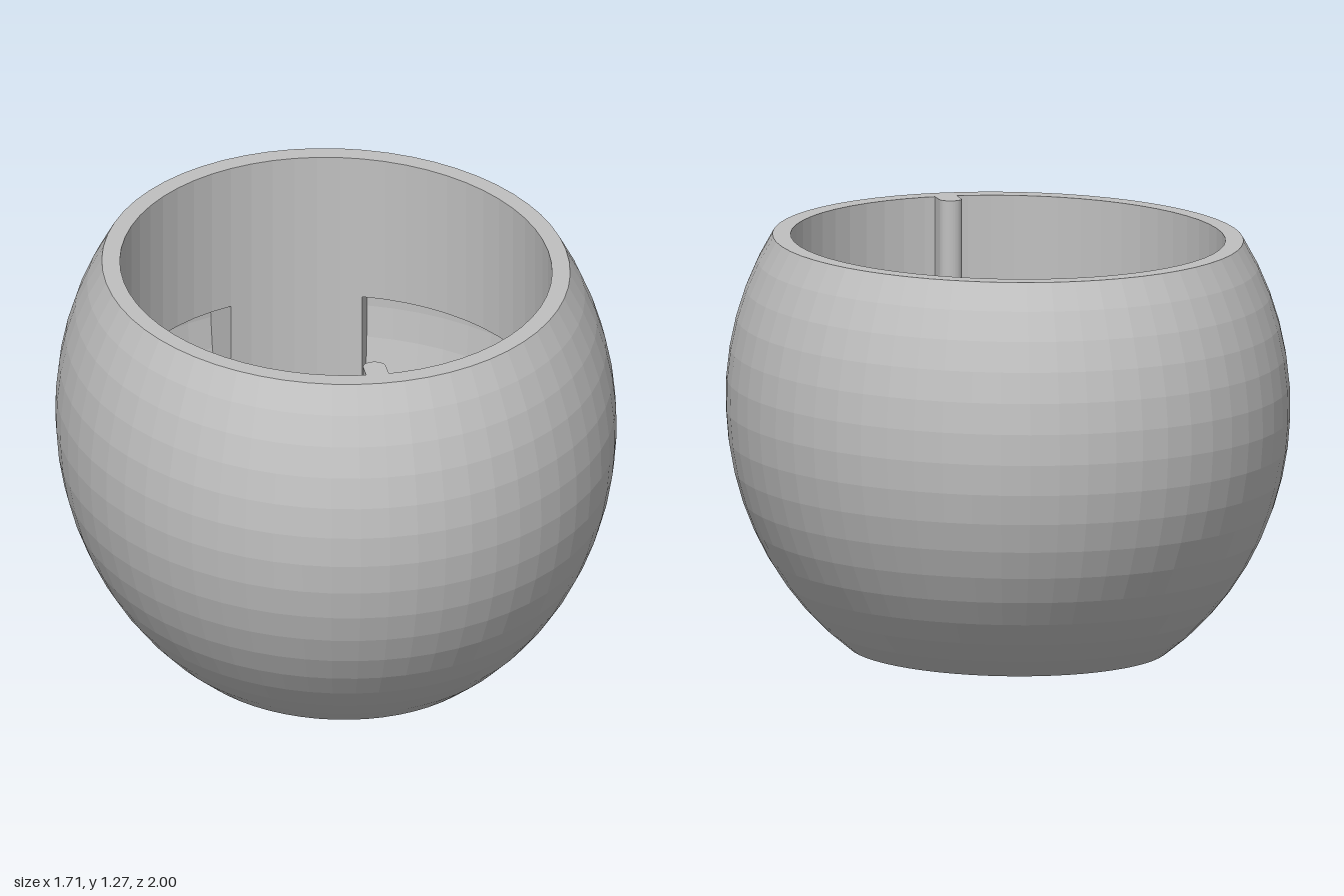
import * as THREE from 'three';

const ASPECT = 0.857;      // width relative to depth
const SEGMENTS = 60;
const RIM_Y = 1.27, LEDGE_Y = 0.8, FLOOR_Y = 0.31, SLOT_Y = 0.18, RECESS_Y = 0.11;
const INNER = 0.77, HOLE = 0.23, SLOT_X = 0.24;

// Radius of the outer ellipsoid (along z) at a height
const shellRadius = (y) => Math.sqrt(1 - ((y - 0.76) / 0.925) ** 2);

// Surface through rows of points
function loft(rows) {
  const n = rows[0].length, index = [];
  for (let r = 0; r < rows.length - 1; r++) {
    for (let i = 0; i < n - 1; i++) {
      const a = r * n + i, b = a + n;
      index.push(a, a + 1, b, a + 1, b + 1, b);
    }
  }
  const geo = new THREE.BufferGeometry().setFromPoints(rows.flat());
  geo.setIndex(index);
  geo.computeVertexNormals();
  return geo;
}

const ellipse = (path, rx, rz) => path.absellipse(0, 0, rx, rz, 0, Math.PI * 2);

export function createModel() {
  const model = new THREE.Group();
  const grey = new THREE.MeshStandardMaterial({ color: 0xc0c0c0, flatShading: true, side: THREE.DoubleSide });
  grey.name = 'plainGrey';
  const add = (name, geo) => {
    const mesh = new THREE.Mesh(geo, grey);
    mesh.name = name;
    model.add(mesh);
    return mesh;
  };

  // Hole wall, recessed underside, rounded outside and flat rim
  const foot = shellRadius(0);
  const profile = [[HOLE, SLOT_Y], [HOLE, RECESS_Y], [foot, RECESS_Y], [foot, 0]];
  const start = Math.asin(-0.76 / 0.925), end = Math.asin((RIM_Y - 0.76) / 0.925);
  for (let i = 1; i <= 15; i++) {
    const a = start + (end - start) * i / 15;
    profile.push([Math.cos(a), 0.76 + 0.925 * Math.sin(a)]);
  }
  profile.push([INNER, RIM_Y]);
  const body = new THREE.LatheGeometry(profile.map(([r, y]) => new THREE.Vector2(r, y)), SEGMENTS);
  add('outerShell', body.scale(ASPECT, 1, 1));

  // Inside wall: straight above, with undercut pockets below the ledge
  const pockets = [[42, 138], [204, 252], [288, 336]];
  const levels = [0.7, 0.6, 0.5, 0.4, FLOOR_Y];
  const column = (deg, open) => {
    const t = THREE.MathUtils.degToRad(deg);
    const at = (r, y) => new THREE.Vector3(r * ASPECT * Math.cos(t), y, r * Math.sin(t));
    const lower = (y) => at(open ? 0.92 * shellRadius(y) : INNER, y);
    return [at(INNER, RIM_Y), at(INNER, LEDGE_Y), lower(LEDGE_Y), ...levels.map(lower)];
  };
  const columns = [];
  for (let deg = 0; deg <= 360; deg += 360 / SEGMENTS) {
    const from = pockets.some(([a, b]) => deg > a && deg <= b);
    const to = pockets.some(([a, b]) => deg >= a && deg < b);
    columns.push(column(deg, from));
    if (from !== to) columns.push(column(deg, to));
  }
  add('innerWall', loft(columns));

  // Inside floor with the slot cut out
  const floorShape = new THREE.Shape();
  const floorR = 0.92 * shellRadius(FLOOR_Y);
  ellipse(floorShape, floorR * ASPECT, floorR);
  floorShape.holes.push(new THREE.Path([
    [-SLOT_X, 0.285], [SLOT_X, 0.285], [SLOT_X, -0.61], [-SLOT_X, -0.61],
  ].map(([x, y]) => new THREE.Vector2(x, y))));
  const floor = add('innerFloor', new THREE.ShapeGeometry(floorShape, 30));
  floor.rotation.x = -Math.PI / 2;
  floor.position.y = FLOOR_Y;

  // Slot bottom with the round opening
  const slotShape = new THREE.Shape([
    [-SLOT_X, 0.285], [-SLOT_X, -0.27], [SLOT_X, -0.27], [SLOT_X, 0.285],
  ].map(([x, y]) => new THREE.Vector2(x, y)));
  const opening = new THREE.Path();
  ellipse(opening, HOLE * ASPECT, HOLE);
  slotShape.holes.push(opening);
  const slot = add('slotBottom', new THREE.ShapeGeometry(slotShape, 30));
  slot.rotation.x = -Math.PI / 2;
  slot.position.y = SLOT_Y;

  // Slot back wall, step and ramp, each spanning the slot width
  const strip = (name, points) => add(name, loft(points.map(([z, y]) => [
    new THREE.Vector3(-SLOT_X, y, z), new THREE.Vector3(SLOT_X, y, z)])));
  const back = [[-0.285, FLOOR_Y], [-0.285, SLOT_Y]];
  const ramp = [[0.27, SLOT_Y], [0.27, 0.21], [0.48, 0.21], [0.61, FLOOR_Y]];
  strip('slotBack', back);
  strip('slotRamp', ramp);

  // Slot side walls
  const sideShape = new THREE.Shape([...back, ...ramp].map(([z, y]) => new THREE.Vector2(z, y)));
  for (const side of [-1, 1]) {
    const wall = add(side < 0 ? 'slotRightWall' : 'slotLeftWall', new THREE.ShapeGeometry(sideShape));
    wall.rotation.y = -Math.PI / 2;
    wall.position.x = side * SLOT_X;
  }

  // Round-nosed locating key on the front of the inside wall
  const keyShape = new THREE.Shape();
  keyShape.moveTo(-0.035, -0.78);
  keyShape.lineTo(0.035, -0.78);
  keyShape.lineTo(0.035, -0.715);
  keyShape.absarc(0, -0.715, 0.035, 0, Math.PI, false);
  const key = add('locatingKey', new THREE.ExtrudeGeometry(keyShape, {
    depth: RIM_Y - LEDGE_Y, bevelEnabled: false, curveSegments: 10,
  }));
  key.rotation.x = -Math.PI / 2;
  key.position.y = LEDGE_Y;

  return model;
}
